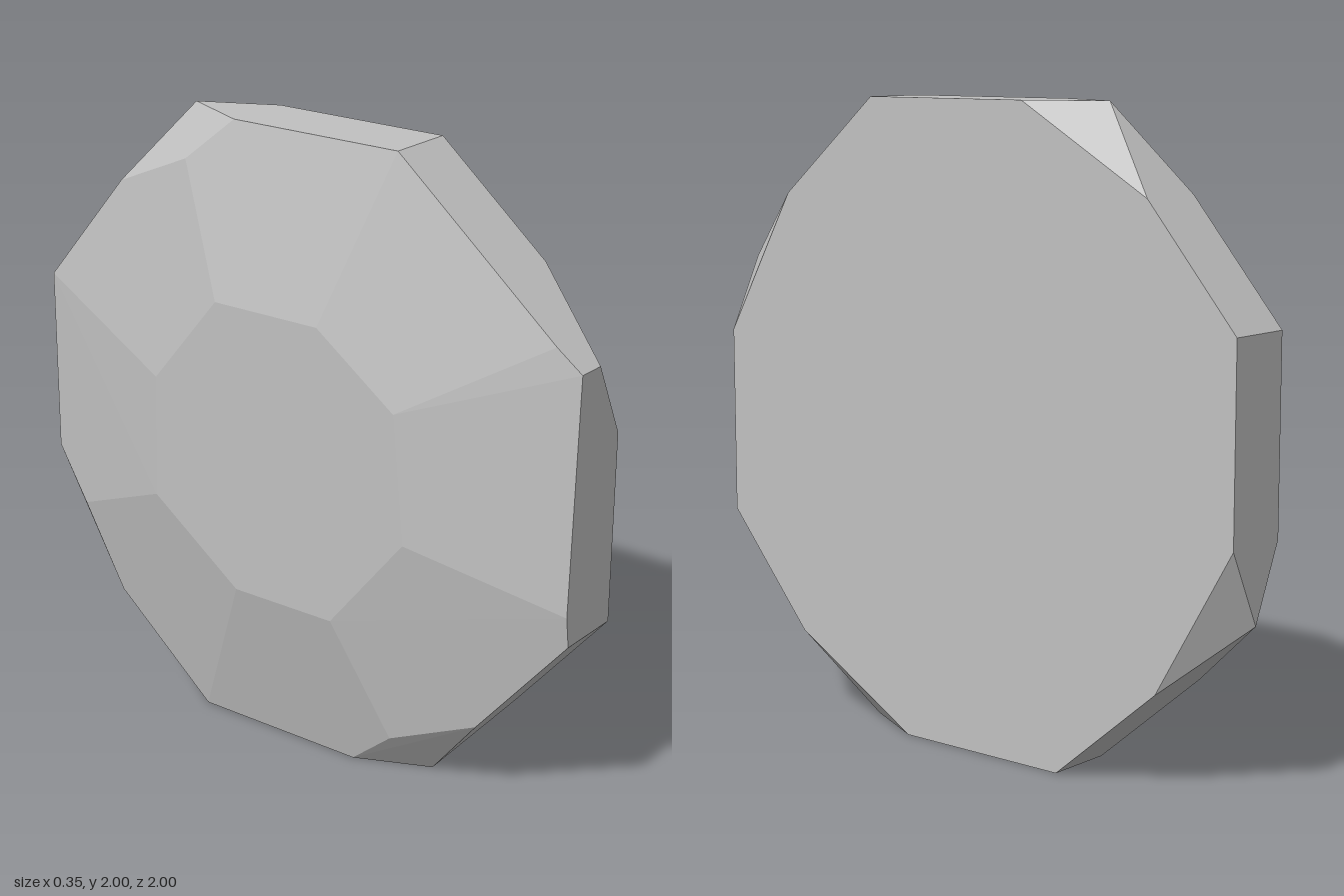
import * as THREE from 'three';
import { ConvexGeometry } from 'three/addons/geometries/ConvexGeometry.js';

const FLAT = 0.172; // x of the flat face
const RIM = -0.05;  // x where the rim meets the domed side
const CROWN = -0.174; // x of the crown on the domed side

export function createModel() {
  const group = new THREE.Group();
  group.name = 'facetedStone';
  const stone = new THREE.MeshStandardMaterial({ color: 0xc0c0c0 });
  stone.name = 'pale grey stone';

  // Points are (x, height from centre, z); each quarter repeats the last one turned by 90 degrees
  const points = [];
  const add = (x, z, h, turns = 0) => {
    for (let i = 0; i < turns; i++) [z, h] = [-h, z];
    points.push(new THREE.Vector3(x, 1 + h, z));
  };

  for (let q = 0; q < 4; q++) {
    // Full corner of the octagon
    add(FLAT, 0.37, 1, q);
    add(RIM, 0.37, 1, q);
    // Chipped corner, flat side
    add(FLAT, -0.23, 1, q);
    add(FLAT, -0.69, 0.735, q);
    add(0.055, -0.465, 1, q);
    // Chipped corner, domed side (the last one stays nearly whole)
    if (q < 3) {
      add(RIM, -0.23, 1, q);
      add(RIM, -0.69, 0.735, q);
      add(-0.083, -0.395, 0.86, q);
    }
  }
  // Whole corner on the domed side and its bent rim
  add(-0.04, 1, 0.465);
  add(RIM, 0.92, 0.533);
  add(-0.065, 1, -0.27);

  // Crown outline of the dome
  const crown = [
    [-0.21, 0.465], [0.175, 0.465], [0.455, 0.26], [0.495, -0.145],
    [0.23, -0.47], [-0.14, -0.47], [-0.465, -0.23], [-0.455, 0.17],
  ];
  for (const [z, h] of crown) add(CROWN, z, h);

  // Flat-shaded solid wrapped around the facet corners
  const mesh = new THREE.Mesh(new ConvexGeometry(points), stone);
  mesh.name = 'stoneDisc';
  group.add(mesh);
  return group;
}
